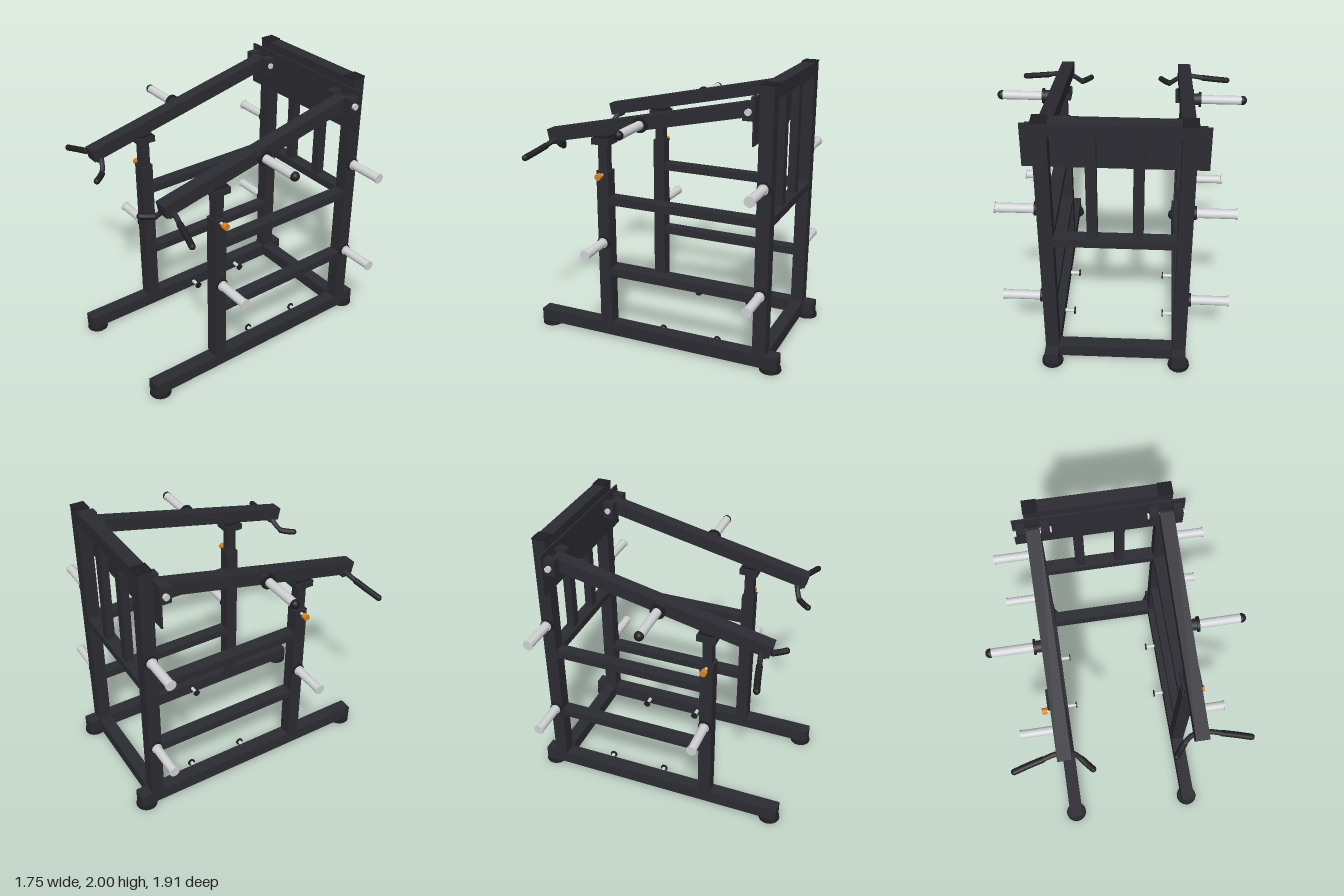
import * as THREE from 'three';

const mat = (name, color) => {
  const m = new THREE.MeshStandardMaterial({ color });
  m.name = name;
  return m;
};

export function createModel() {
  const root = new THREE.Group();
  root.name = 'leverPressRack';
  const frame = mat('charcoal frame', 0x2b2b32);
  const rubber = mat('black rubber', 0x1f1f23);
  const steel = mat('brushed steel', 0xd0d2d4);
  const orange = mat('orange knob', 0xd9821f);

  const add = (parent, name, geo, material, x, y, z) => {
    const m = new THREE.Mesh(geo, material);
    m.name = name;
    m.position.set(x, y, z);
    parent.add(m);
    return m;
  };
  const box = (parent, name, material, w, h, d, x, y, z) =>
    add(parent, name, new THREE.BoxGeometry(w, h, d), material, x, y, z);
  // Cylinder lying along x, from x0 to x1
  const rod = (parent, name, material, r, x0, x1, y, z, sides = 24) => {
    const g = new THREE.CylinderGeometry(r, r, Math.abs(x1 - x0), sides);
    g.rotateZ(Math.PI / 2);
    return add(parent, name, g, material, (x0 + x1) / 2, y, z);
  };
  const tube = (parent, name, material, r, pts) => {
    const curve = new THREE.CatmullRomCurve3(pts.map(p => new THREE.Vector3(...p)));
    add(parent, name, new THREE.TubeGeometry(curve, 24, r, 12), material, 0, 0, 0);
    [pts[0], pts[pts.length - 1]].forEach(p =>
      add(parent, name + 'End', new THREE.SphereGeometry(r, 12, 8), material, ...p));
  };

  const X = 0.455, BACK = -0.805, POST = 0.38, T = 0.095;

  // Cross members between the two sides
  box(root, 'baseCrossbar', frame, 0.82, 0.095, T, 0, 0.072, BACK);
  box(root, 'middleCrossbar', frame, 0.82, 0.058, T, 0, 1.077, BACK);
  box(root, 'topCrossbar', frame, 0.82, 0.095, T, 0, 1.945, BACK);
  box(root, 'backPlate', frame, 1.18, 0.31, 0.012, 0, 1.775, -0.751);
  for (const x of [-0.15, 0.15])
    box(root, 'backSlat', frame, 0.07, 0.80, 0.058, x, 1.505, BACK);

  for (const s of [1, -1]) {
    const side = new THREE.Group();
    side.name = s > 0 ? 'leftSide' : 'rightSide';
    root.add(side);
    const x = s * X;

    // Base rail, feet and uprights
    box(side, 'baseRail', frame, 0.097, 0.097, 1.875, x, 0.072, 0.002);
    for (const z of [0.88, -0.88])
      add(side, 'foot', new THREE.CylinderGeometry(0.073, 0.077, 0.024, 32), rubber, x, 0.012, z);
    box(side, 'rearUpright', frame, T, 1.875, T, x, 1.055, BACK);
    box(side, 'uprightCap', rubber, 0.1, 0.008, 0.1, x, 1.996, BACK);
    box(side, 'frontUpright', frame, T, 1.17, 0.092, x, 0.705, POST);
    box(side, 'lowerSideRail', frame, T * 0.95, 0.058, 1.09, x, 0.535, -0.212);
    box(side, 'upperSideRail', frame, T * 0.95, 0.058, 1.09, x, 1.077, -0.212);

    // Adjustable post with padded arm rest
    box(side, 'adjustablePost', frame, 0.068, 0.22, 0.068, x, 1.39, POST);
    box(side, 'armRest', frame, 0.135, 0.046, 0.135, x, 1.507, POST);
    box(side, 'armRestPad', rubber, 0.11, 0.014, 0.11, x, 1.537, POST);
    rod(side, 'knobStem', steel, 0.011, s * 0.5, s * 0.54, 1.265, POST, 12);
    rod(side, 'adjustmentKnob', orange, 0.023, s * 0.537, s * 0.572, 1.265, POST, 16);

    // Weight storage horns
    for (const [y, z] of [[0.76, POST], [0.57, BACK], [1.325, BACK]]) {
      rod(side, 'hornFlange', rubber, 0.046, s * 0.5, s * 0.52, y, z);
      rod(side, 'storageHorn', steel, 0.032, s * 0.52, s * 0.775, y, z);
      rod(side, 'hornRim', steel, 0.037, s * 0.77, s * 0.78, y, z);
      rod(side, 'hornRim', steel, 0.037, s * 0.52, s * 0.53, y, z);
    }

    // Band pegs on the inside of the base rail
    for (const z of [-0.435, -0.005]) {
      rod(side, 'pegStem', steel, 0.014, s * 0.407, s * 0.338, 0.07, z, 16);
      rod(side, 'pegHead', rubber, 0.027, s * 0.338, s * 0.328, 0.07, z);
    }

    // Pivot brackets and pin
    for (const bx of [X - 0.085, X + 0.08])
      box(side, 'pivotBracket', frame, 0.062, 0.118, 0.08, s * bx, 1.832, -0.706);
    rod(side, 'pivotPin', steel, 0.022, s * 0.328, s * 0.588, 1.832, -0.709, 12);
    rod(side, 'pivotSleeve', frame, 0.047, s * 0.408, s * 0.502, 1.832, -0.7);

    // Sloping lever arm
    const arm = box(side, 'leverArm', frame, T, 0.093, 1.543, x, 1.667, 0.053);
    arm.rotation.x = Math.atan(0.221);

    // Loading horn on the arm
    rod(side, 'loadingCollar', frame, 0.04, s * 0.5, s * 0.54, 1.666, 0.055);
    rod(side, 'loadingFlange', rubber, 0.053, s * 0.54, s * 0.556, 1.666, 0.055);
    rod(side, 'loadingHorn', steel, 0.031, s * 0.556, s * 0.838, 1.666, 0.055);
    const tip = add(side, 'loadingHornTip',
      new THREE.SphereGeometry(0.032, 20, 12), rubber, s * 0.845, 1.666, 0.055);
    tip.scale.x = 0.95;
    rod(side, 'loadingHornTipRing', rubber, 0.032, s * 0.836, s * 0.848, 1.666, 0.055);

    // Two-way handle below the arm end
    box(side, 'handleMount', frame, 0.09, 0.06, 0.05, x, 1.475, 0.75);
    tube(side, 'handleBar', frame, 0.018, [
      [s * 0.62, 1.452, 0.77], [s * 0.51, 1.48, 0.748], [s * 0.455, 1.48, 0.745],
      [s * 0.4, 1.45, 0.75], [s * 0.345, 1.395, 0.785], [s * 0.3, 1.387, 0.835]]);
    tube(side, 'outerGrip', rubber, 0.022, [
      [s * 0.60, 1.456, 0.766], [s * 0.7, 1.435, 0.787], [s * 0.795, 1.415, 0.81]]);
    tube(side, 'innerGrip', rubber, 0.022, [
      [s * 0.345, 1.392, 0.785], [s * 0.315, 1.387, 0.82], [s * 0.28, 1.387, 0.862]]);
  }
  return root;
}
